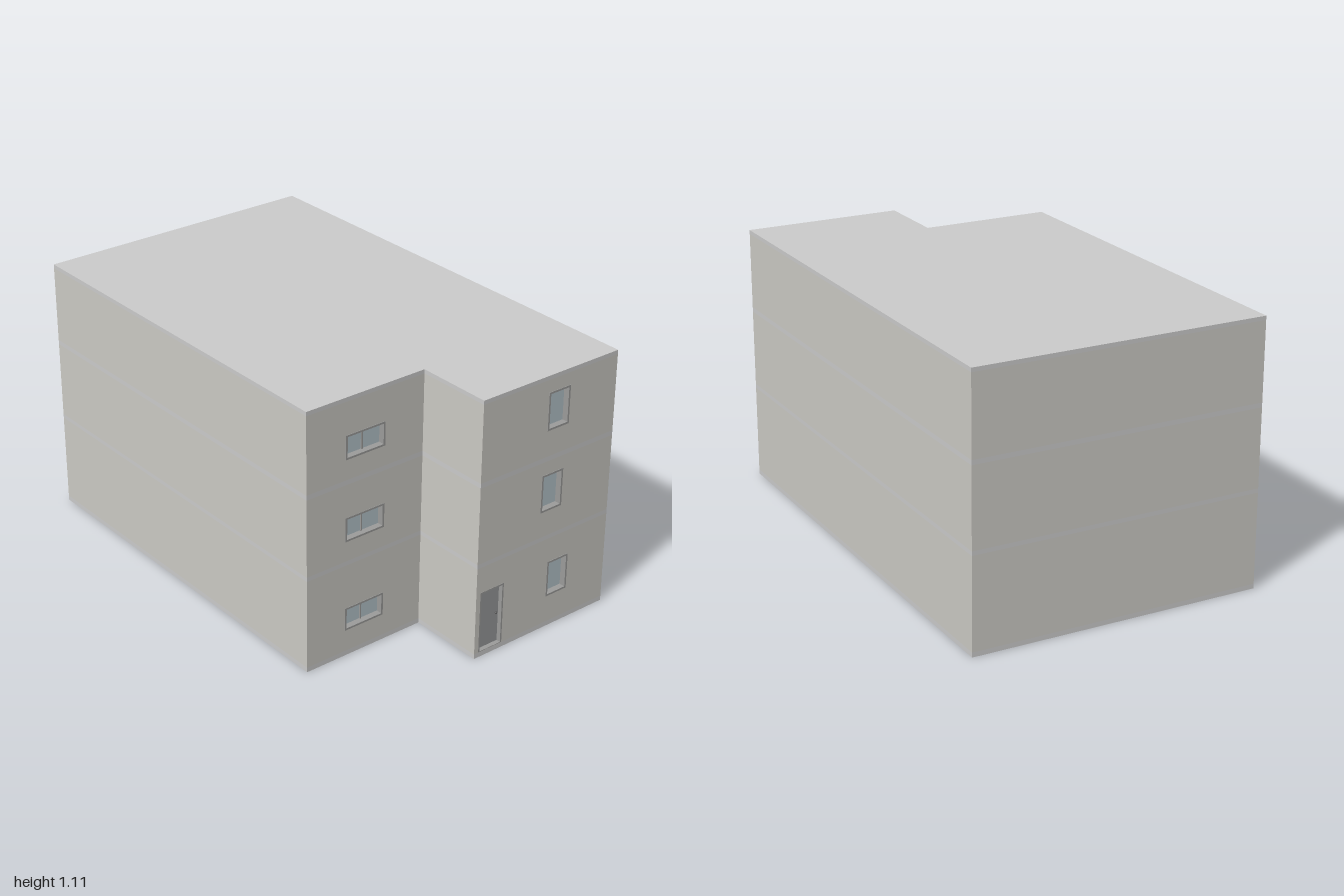
import * as THREE from 'three';

const W = 0.614, H = 1.105, BACK = -1, FRONT = 1, STEP_X = -0.062, STEP_Z = 0.675, T = 0.04;

const mat = (color) => new THREE.MeshStandardMaterial({ color });
const wallMat = mat(0xcccac4), slabMat = mat(0xc2c2c1), frameMat = mat(0x9c9c9b);
const glassMat = mat(0xb4c3ca), doorMat = mat(0x97999b), knobMat = mat(0x555555);

function add(parent, name, geometry, material) {
  const mesh = new THREE.Mesh(geometry, material);
  mesh.name = name;
  parent.add(mesh);
  return mesh;
}

function box(parent, name, material, x0, x1, y0, y1, z0, z1) {
  const mesh = add(parent, name, new THREE.BoxGeometry(x1 - x0, y1 - y0, z1 - z0), material);
  mesh.position.set((x0 + x1) / 2, (y0 + y1) / 2, (z0 + z1) / 2);
  return mesh;
}

const rectPoints = (x0, x1, y0, y1) =>
  [[x0, y0], [x1, y0], [x1, y1], [x0, y1]].map(([x, y]) => new THREE.Vector2(x, y));

// Upright panel with rectangular openings, spanning z0 to z1
function panel(parent, name, material, rect, holes, z0, z1) {
  const shape = new THREE.Shape(rectPoints(...rect));
  holes.forEach((h) => shape.holes.push(new THREE.Path(rectPoints(...h))));
  const geo = new THREE.ExtrudeGeometry(shape, { depth: z1 - z0, bevelEnabled: false });
  return add(parent, name, geo.translate(0, 0, z0), material);
}

// Framed window set into the wall whose outer face is at z
function addWindow(parent, [x0, x1, y0, y1], z, split) {
  const g = new THREE.Group();
  g.name = 'window';
  const f = 0.008;
  panel(g, 'windowFrame', frameMat, [x0, x1, y0, y1], [[x0 + f, x1 - f, y0 + f, y1 - f]], z - T, z + 0.002);
  box(g, 'glass', glassMat, x0 + f, x1 - f, y0 + f, y1 - f, z - 0.032, z - 0.024);
  if (split) {
    const c = (x0 + x1) / 2;
    box(g, 'mullion', frameMat, c - 0.003, c + 0.003, y0 + f, y1 - f, z - 0.034, z - 0.019);
  }
  parent.add(g);
}

// Recessed door with a three-sided frame and a knob
function addDoor(parent, [x0, x1, y0, y1], z) {
  const g = new THREE.Group();
  g.name = 'door';
  const f = 0.007;
  panel(g, 'doorFrame', frameMat, [x0, x1, y0, y1], [[x0 + f, x1 - f, y0 + 0.002, y1 - f]], z - T, z + 0.001);
  box(g, 'doorLeaf', doorMat, x0 + f, x1 - f, y0 + 0.002, y1 - f, z - 0.03, z - 0.018);
  const knob = add(g, 'doorKnob', new THREE.SphereGeometry(0.005, 12, 8), knobMat);
  knob.position.set(x1 - 0.02, (y0 + y1) / 2, z - 0.014);
  parent.add(g);
}

export function createModel() {
  const model = new THREE.Group();
  model.name = 'apartmentBlock';

  // Floor slabs and roof, flush with the walls
  const footprint = new THREE.Shape([
    [-W, BACK], [W, BACK], [W, FRONT], [STEP_X, FRONT], [STEP_X, STEP_Z], [-W, STEP_Z],
  ].map(([x, z]) => new THREE.Vector2(x, -z)));
  const slabs = [[0, 0.02], [0.4, 0.418], [0.745, 0.765], [1.088, H]];
  slabs.forEach(([y0, y1], i) => {
    const geo = new THREE.ExtrudeGeometry(footprint, { depth: y1 - y0, bevelEnabled: false });
    geo.rotateX(-Math.PI / 2).translate(0, y0, 0);
    add(model, i === 3 ? 'roofSlab' : 'floorSlab', geo, slabMat);
  });

  // Openings per storey: wide window on the set-back front, tall window on the projecting front
  const wide = [[0.113, 0.212], [0.503, 0.606], [0.85, 0.951]].map(([a, b]) => [-0.433, -0.247, a, b]);
  const tall = [[0.303, 0.411, 0.138, 0.294], [0.25, 0.358, 0.528, 0.689], [0.264, 0.372, 0.875, 1.035]];
  const door = [-0.042, 0.077, 0.022, 0.288];

  for (let i = 0; i < 3; i++) {
    const storey = new THREE.Group();
    storey.name = 'storey';
    const y0 = slabs[i][1], y1 = slabs[i + 1][0];

    box(storey, 'backWall', wallMat, -W, W, y0, y1, BACK, BACK + T);
    box(storey, 'rightWall', wallMat, -W, -W + T, y0, y1, BACK + T, STEP_Z - T);
    box(storey, 'leftWall', wallMat, W - T, W, y0, y1, BACK + T, FRONT - T);
    box(storey, 'stepWall', wallMat, STEP_X, STEP_X + T, y0, y1, STEP_Z - T, FRONT - T);
    panel(storey, 'setBackFrontWall', wallMat, [-W, STEP_X, y0, y1], [wide[i]], STEP_Z - T, STEP_Z);
    panel(storey, 'projectingFrontWall', wallMat, [STEP_X, W, y0, y1],
      i === 0 ? [tall[i], door] : [tall[i]], FRONT - T, FRONT);

    addWindow(storey, wide[i], STEP_Z, true);
    addWindow(storey, tall[i], FRONT, false);
    if (i === 0) addDoor(storey, door, FRONT);
    model.add(storey);
  }
  return model;
}
